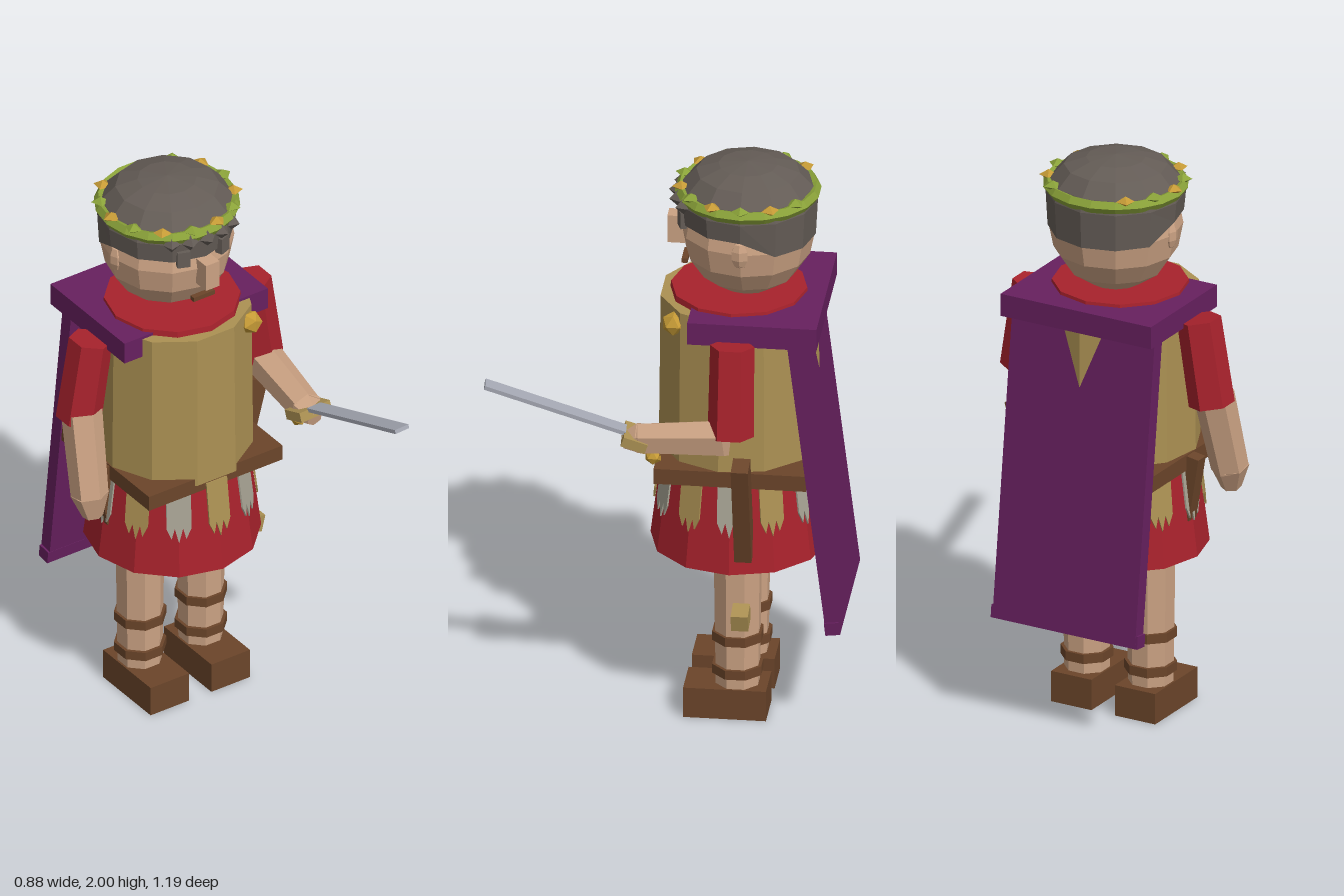
import * as THREE from 'three';

const colours = {
  skin: 0xcba283, red: 0xa8222c, purple: 0x67205f, bronze: 0xac9153, brown: 0x6b452a,
  hair: 0x645c56, leaf: 0x8aa239, gold: 0xc59a36, steel: 0xa5a8b3, linen: 0xa8a494,
};
const mats = {};
for (const [name, color] of Object.entries(colours)) {
  mats[name] = new THREE.MeshStandardMaterial({ color, flatShading: true });
  mats[name].name = name;
}
mats.hair.side = THREE.DoubleSide;

export function createModel() {
  const model = new THREE.Group();
  model.name = 'soldier';
  const BODY = -0.22, HEAD = -0.25; // depth of the body and head axes

  const add = (name, geo, mat, x = 0, y = 0, z = 0, rx = 0, ry = 0, rz = 0) => {
    const m = new THREE.Mesh(geo, mats[mat]);
    m.name = name;
    m.position.set(x, y, z);
    m.rotation.set(rx, ry, rz);
    model.add(m);
    return m;
  };
  const box = (name, mat, w, h, d, ...place) =>
    add(name, new THREE.BoxGeometry(w, h, d), mat, ...place);
  const cyl = (name, mat, rTop, rBottom, h, sides, ...place) =>
    add(name, new THREE.CylinderGeometry(rTop, rBottom, h, sides), mat, ...place);
  // tapered prism from point a to point b
  const limb = (name, mat, a, b, ra, rb, sides = 6) => {
    const p = new THREE.Vector3(...a), q = new THREE.Vector3(...b);
    const dir = p.clone().sub(q);
    const m = cyl(name, mat, ra, rb, dir.length(), sides);
    m.position.copy(p).add(q).multiplyScalar(0.5);
    m.quaternion.setFromUnitVectors(new THREE.Vector3(0, 1, 0), dir.normalize());
    return m;
  };

  // Legs and sandals
  for (const s of [-1, 1]) {
    const x = s * 0.124;
    cyl('leg', 'skin', 0.085, 0.077, 0.56, 8, x, 0.37, -0.23, 0, Math.PI / 8);
    for (const y of [0.167, 0.29])
      cyl('sandalStrap', 'brown', 0.09, 0.09, 0.033, 8, x, y, -0.23, 0, Math.PI / 8);
    box('foot', 'brown', 0.157, 0.11, 0.28, x, 0.055, -0.194);
  }

  // Tunic skirt with alternating hanging strips
  cyl('skirt', 'red', 0.257, 0.3, 0.34, 12, 0, 0.76, BODY);
  const strip = new THREE.Shape([
    [-0.042, 0.21], [-0.042, 0.055], [-0.025, 0.015], [-0.014, 0.055], [0, 0],
    [0.014, 0.055], [0.025, 0.015], [0.042, 0.055], [0.042, 0.21],
  ].map(([x, y]) => new THREE.Vector2(x, y)));
  const stripGeo = new THREE.ExtrudeGeometry(strip, { depth: 0.006, bevelEnabled: false });
  for (let i = 0; i < 12; i++) {
    const a = (i * Math.PI) / 6, r = 0.284;
    const m = add('skirtStrip', stripGeo, i % 2 ? 'linen' : 'bronze',
      Math.sin(a) * r, 0.72, BODY + Math.cos(a) * r);
    m.rotation.set(-0.125, a, 0, 'YXZ');
  }

  // Breastplate, belt and collar
  cyl('breastplate', 'bronze', 0.268, 0.274, 0.58, 11, 0, 1.225, BODY, 0, Math.PI);
  box('belt', 'brown', 0.545, 0.056, 0.515, 0, 0.933, BODY);
  cyl('collar', 'red', 0.23, 0.235, 0.04, 12, 0, 1.516, BODY);
  add('brooch', new THREE.IcosahedronGeometry(0.042, 0), 'gold', 0.18, 1.465, -0.02);

  // Cloak: shoulder yoke, hanging back and hem
  box('cloakYoke', 'purple', 0.585, 0.08, 0.437, 0, 1.485, -0.297);
  box('cloakBack', 'purple', 0.555, 1.1, 0.05, 0, 0.94, -0.502, 0.122);
  box('cloakHem', 'purple', 0.57, 0.045, 0.05, 0, 0.4, -0.567, 0.122);

  // Right arm, hanging
  limb('sleeve', 'red', [-0.318, 1.465, -0.24], [-0.368, 1.165, -0.24], 0.075, 0.078);
  limb('forearm', 'skin', [-0.366, 1.2, -0.225], [-0.385, 0.91, -0.15], 0.07, 0.064);
  limb('hand', 'skin', [-0.385, 0.915, -0.15], [-0.382, 0.832, -0.135], 0.066, 0.035);

  // Left arm, bent forward
  limb('sleeve', 'red', [0.325, 1.465, -0.235], [0.37, 1.15, -0.235], 0.075, 0.078);
  limb('forearm', 'skin', [0.37, 1.14, -0.22], [0.342, 1.108, 0.08], 0.068, 0.056);
  limb('hand', 'skin', [0.342, 1.108, 0.07], [0.34, 1.095, 0.13], 0.06, 0.03);

  // Sword, pointing forward and slightly up
  const sword = new THREE.Group();
  sword.name = 'sword';
  sword.position.set(0.34, 1.115, 0.09);
  sword.rotation.set(-0.327, 0.068, 0, 'YXZ');
  model.add(sword);
  sword.add(
    box('blade', 'steel', 0.058, 0.014, 0.5, 0, 0.01, 0.288),
    box('swordGuard', 'bronze', 0.13, 0.035, 0.085, 0, -0.005, 0),
    box('swordGrip', 'brown', 0.03, 0.03, 0.1, 0, -0.02, -0.05));
  add('pommel', new THREE.IcosahedronGeometry(0.03, 0), 'gold', 0.342, 1.045, 0.03);

  // Scabbard with its tip, and a dagger sheath on the other hip
  box('scabbard', 'brown', 0.075, 0.4, 0.058, 0.318, 0.845, -0.268, 0, 0, -0.26);
  box('scabbardTip', 'bronze', 0.072, 0.062, 0.058, 0.35, 0.46, -0.266, 0, 0, -0.24);
  box('daggerSheath', 'brown', 0.05, 0.23, 0.05, -0.275, 0.84, -0.22, 0, 0, 0.16);

  // Head and face
  add('head', new THREE.SphereGeometry(0.227, 12, 8), 'skin', 0, 1.753, HEAD);
  box('nose', 'skin', 0.056, 0.1, 0.06, 0, 1.742, -0.01);
  box('mouth', 'brown', 0.086, 0.016, 0.02, 0, 1.633, -0.04);
  for (const s of [-1, 1]) {
    const ear = add('ear', new THREE.SphereGeometry(0.05, 6, 5), 'skin', s * 0.212, 1.75, -0.247);
    ear.scale.set(0.45, 1, 0.65);
  }

  // Hair: a cap whose rim drops lower at the back
  const profile = [[0.229, 1.8], [0.236, 1.87], [0.222, 1.915], [0.175, 1.965], [0.1, 1.99], [0, 2]];
  const cap = new THREE.LatheGeometry(profile.map(([x, y]) => new THREE.Vector2(x, y)), 12);
  const p = cap.attributes.position;
  for (let i = 0; i < p.count; i++)
    if (p.getY(i) < 1.81 && p.getZ(i) < -0.05)
      p.setY(i, 1.8 - Math.min(0.06, -p.getZ(i) * 0.5));
  add('hair', cap, 'hair', 0, 0, HEAD);
  for (let i = -2; i <= 2; i++) {
    const a = i * 0.27;
    add('hairCurl', new THREE.OctahedronGeometry(0.03), 'hair',
      Math.sin(a) * 0.238, 1.878, HEAD + Math.cos(a) * 0.238, 0, a);
  }
  for (const s of [-1, 1])
    box('fringeLock', 'hair', 0.045, 0.06, 0.04, s * 0.078, 1.812, -0.045, 0, s * 0.36);

  // Wreath with alternating gold and green buds, open at the back
  const ring = add('wreath', new THREE.TorusGeometry(0.226, 0.021, 5, 18), 'leaf', 0, 1.897, HEAD, Math.PI / 2);
  ring.scale.z = 1.1;
  for (let i = 0; i < 12; i++) {
    const a = ((i - 5.5) * Math.PI * 2) / 14;
    const bud = add('wreathBud', new THREE.OctahedronGeometry(0.032), i % 2 ? 'leaf' : 'gold',
      Math.sin(a) * 0.226, 1.918, HEAD + Math.cos(a) * 0.226, 0, a);
    bud.scale.y = 0.6;
  }
  return model;
}
